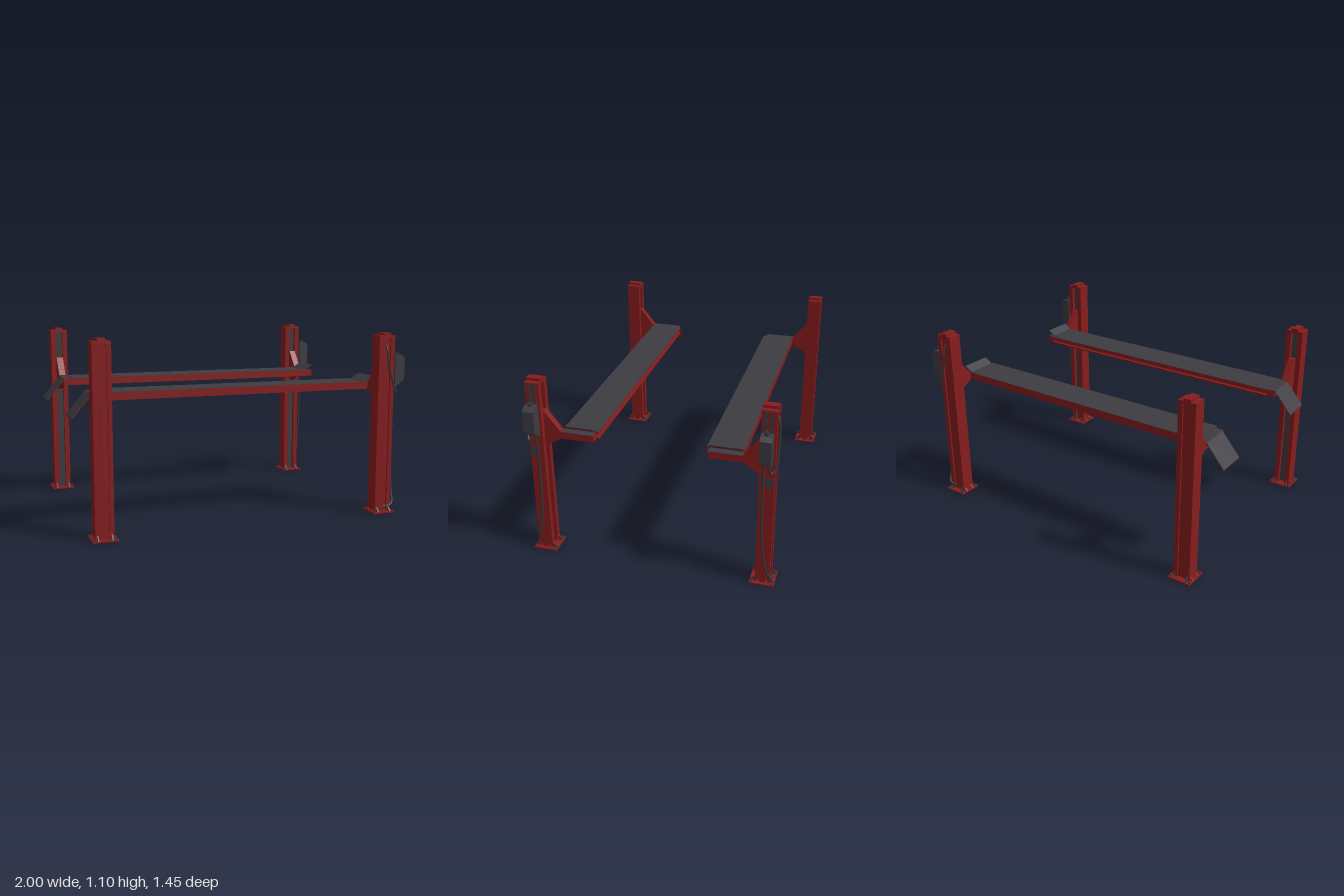
import * as THREE from 'three';

export function createModel() {
  const mat = (name, color) => Object.assign(new THREE.MeshStandardMaterial({ color }), { name });
  const red = mat('red paint', 0x861c1d);
  const grey = mat('grey deck', 0x3d3c41);
  const dark = mat('dark rubber', 0x36373a);
  const brown = mat('dark brown underside', 0x50282a);
  const model = new THREE.Group();
  model.name = 'fourPostLift';
  const sides = ['front', 'back'].map((name) => {
    const g = new THREE.Group();
    g.name = name + 'Side';
    model.add(g);
    return g;
  });

  // Mirror a copy of a geometry across z, swapping corners so faces still point outward
  function mirrorZ(geo) {
    const g = (geo.index ? geo.toNonIndexed() : geo.clone()).scale(1, 1, -1);
    for (const a of Object.values(g.attributes)) {
      const n = a.itemSize;
      for (let i = 0; i < a.count; i += 3) {
        for (let k = 0; k < n; k++) {
          const p = i * n + k, q = (i + 2) * n + k, t = a.array[p];
          a.array[p] = a.array[q];
          a.array[q] = t;
        }
      }
    }
    return g;
  }

  // Every part is made for the front (+z) side and mirrored to the back
  function add(name, geo, material) {
    [geo, mirrorZ(geo)].forEach((g, i) => {
      const m = new THREE.Mesh(g, material);
      m.name = name;
      sides[i].add(m);
    });
  }
  const box = (x0, x1, y0, y1, z0, z1) =>
    new THREE.BoxGeometry(x1 - x0, y1 - y0, z1 - z0).translate((x0 + x1) / 2, (y0 + y1) / 2, (z0 + z1) / 2);
  const extrude = (pts, depth) => new THREE.ExtrudeGeometry(
    new THREE.Shape(pts.map(([a, b]) => new THREE.Vector2(a, b))), { depth, bevelEnabled: false });
  const prismXY = (pts, z0, z1) => extrude(pts, z1 - z0).translate(0, 0, z0);
  const prismZY = (pts, x0, x1) => extrude(pts.map(([z, y]) => [-z, y]), x1 - x0).rotateY(Math.PI / 2).translate(x0, 0, 0);
  const prismXZ = (pts, y0, y1) =>
    extrude(pts.map(([x, z]) => [x, -z]), y1 - y0).rotateX(-Math.PI / 2).translate(0, y0, 0);
  const hose = (pts, r) => new THREE.TubeGeometry(
    new THREE.CatmullRomCurve3(pts.map((p) => new THREE.Vector3(...p))), 40, r, 8);

  // Posts: shallow outer recess, deep inner slot
  for (const x of [-0.867, 0.865]) {
    const [w, zi, zo] = [0.053, 0.613, 0.696];
    add('post', prismXZ([
      [x - w, zi], [x - 0.022, zi], [x - 0.022, zi + 0.045], [x + 0.022, zi + 0.045], [x + 0.022, zi], [x + w, zi],
      [x + w, zo], [x + 0.026, zo], [x + 0.026, zo - 0.01], [x - 0.026, zo - 0.01], [x - 0.026, zo], [x - w, zo],
    ], 0.008, 1.07), red);
    add('postTop', box(x - w, x + w, 1.07, 1.085, zi, zo), red);
    add('postCap', box(x - 0.022, x + 0.022, 1.085, 1.1, zi, zo), red);
    add('slotStrip', box(x - 0.021, x + 0.021, 0.01, 1.07, zi + 0.022, zi + 0.03), grey);
    // Foot with gussets and anchor bolts
    add('basePlate', box(x - 0.072, x + 0.072, 0, 0.008, 0.582, 0.724), red);
    for (const s of [-1, 1]) {
      const gx = x + s * 0.04;
      add('footGusset', prismZY([[zo, 0.008], [0.722, 0.008], [zo, 0.034]], gx - 0.004, gx + 0.004), dark);
      add('footGusset', prismZY([[zi, 0.008], [zi, 0.034], [0.584, 0.008]], gx - 0.004, gx + 0.004), dark);
      for (const z of [0.63, 0.68]) {
        add('sideGusset', prismXY([[x + s * w, 0.008], [x + s * 0.07, 0.008], [x + s * w, 0.026]], z - 0.004, z + 0.004), red);
      }
      for (const z of [0.594, 0.711]) {
        add('anchorBolt', new THREE.CylinderGeometry(0.006, 0.006, 0.008, 6).translate(x + s * 0.06, 0.012, z), dark);
      }
    }
    // Carriage bracket tapering from the post to the runway
    add('carriageBracket', prismZY([
      [0.64, 0.69], [0.608, 0.69], [0.52, 0.745], [0.515, 0.745],
      [0.515, 0.79], [0.52, 0.79], [0.608, 0.902], [0.64, 0.902],
    ], x - 0.021, x + 0.021), red);
  }

  // Runway: channel beam with a flanged inner edge, and a thin deck plate
  add('runwayBeam', prismZY([
    [0.515, 0.745], [0.31, 0.745], [0.31, 0.755], [0.33, 0.755],
    [0.33, 0.78], [0.31, 0.78], [0.31, 0.79], [0.515, 0.79],
  ], -0.84, 0.84), red);
  add('runwayDeck', box(-0.84, 0.84, 0.79, 0.7912, 0.31, 0.515), grey);
  for (const [x0, x1] of [[-0.89, -0.84], [0.84, 0.885]]) {
    add('endArm', box(x0, x1, 0.745, 0.785, 0.327, 0.515), red);
    add('endPlate', box(x0, x1, 0.785, 0.7865, 0.327, 0.515), grey);
  }

  // Sloping plates: grey upper skin over a differently coloured lower skin
  const slope = (name, [ax, ay], [bx, by], z0, z1, under) => {
    const band = (lo, hi) => prismXY([[ax, ay + lo], [bx, by + lo], [bx, by + hi], [ax, ay + hi]], z0, z1);
    add(name + 'Top', band(0, 0.004), grey);
    add(name + 'Underside', band(-0.004, 0), under);
  };
  slope('approachRamp', [-1, 0.649], [-0.887, 0.783], 0.335, 0.513, red);
  slope('wheelStop', [0.836, 0.791], [0.885, 0.822], 0.329, 0.515, brown);
  add('stopHinge', box(0.816, 0.84, 0.791, 0.795, 0.329, 0.515), grey);

  // Power unit on the right-hand posts
  add('powerUnit', prismXY([
    [0.932, 0.778], [0.945, 0.778], [0.997, 0.815], [0.997, 0.945], [0.975, 0.965], [0.932, 0.965],
  ], 0.62, 0.685), grey);
  add('powerUnitKnob', new THREE.CylinderGeometry(0.014, 0.014, 0.02, 12).translate(0.955, 0.973, 0.652), dark);
  add('powerUnitMount', box(0.915, 0.934, 0.8, 0.94, 0.638, 0.668), dark);
  for (const z of [0.637, 0.668]) add('mountRail', box(0.917, 0.922, 0.8, 1.08, z - 0.008, z + 0.008), grey);
  add('sidePlate', box(0.917, 0.921, 0.63, 0.69, 0.647, 0.69), grey);

  // Hoses
  add('upperHose', hose([
    [0.86, 1.03, 0.69], [0.865, 0.99, 0.703], [0.88, 0.88, 0.706], [0.91, 0.79, 0.705],
    [0.93, 0.745, 0.695], [0.942, 0.735, 0.68], [0.945, 0.785, 0.668],
  ], 0.006), dark);
  add('lowerHose', hose([
    [0.943, 0.79, 0.64], [0.942, 0.6, 0.639], [0.94, 0.42, 0.641], [0.939, 0.24, 0.653],
    [0.937, 0.11, 0.675], [0.93, 0.06, 0.695], [0.9, 0.042, 0.706], [0.865, 0.04, 0.698],
  ], 0.007), dark);
  return model;
}
